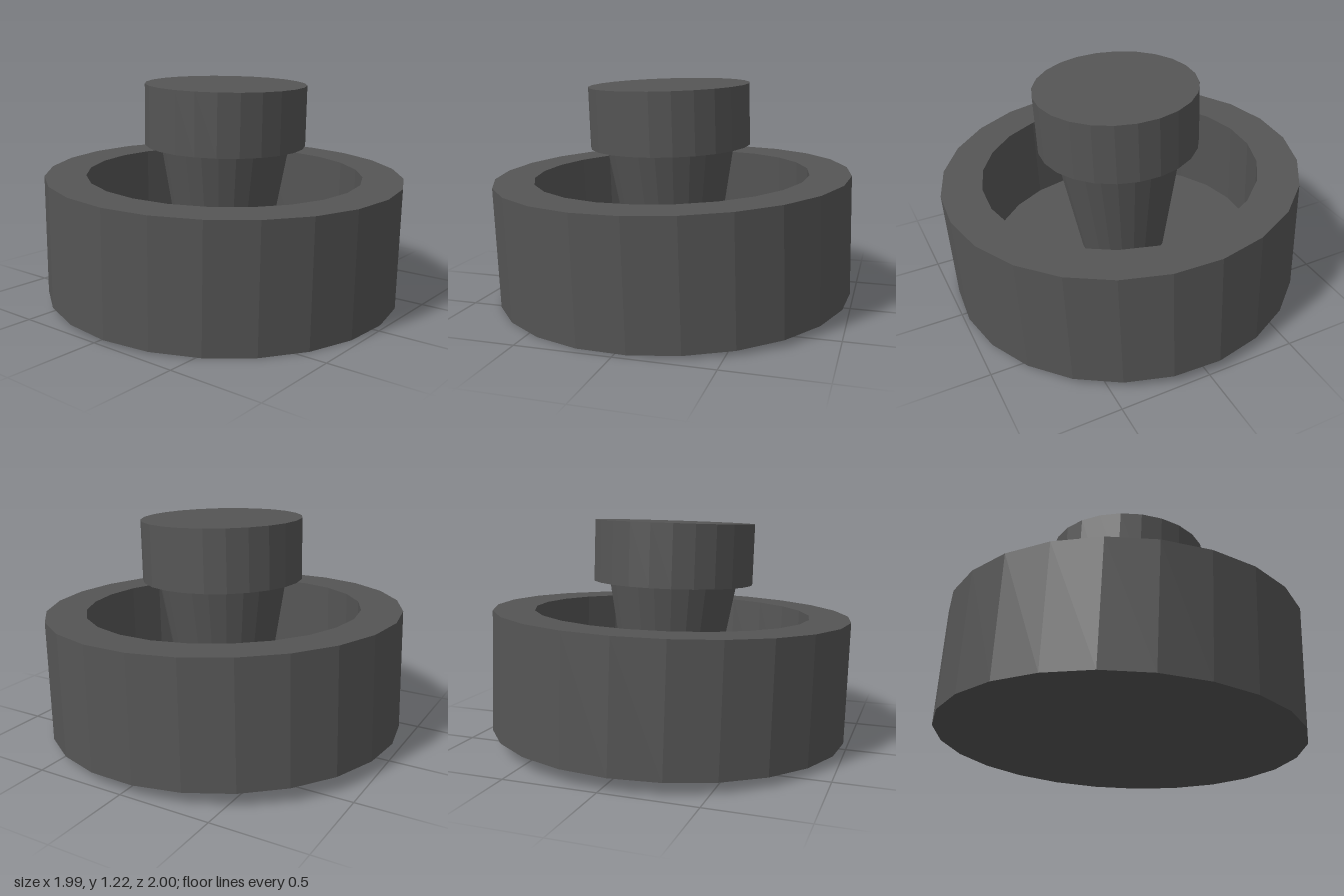
import * as THREE from 'three';

const SIDES = 24;
const SPIN = 0.056; // turns the facets slightly about the axis

export function createModel() {
  const model = new THREE.Group();
  const material = new THREE.MeshStandardMaterial({ color: 0x555555, flatShading: true });

  // Revolves a profile of [radius, height] points, listed from the bottom up
  const addTurned = (name, profile) => {
    const points = profile.map(([r, y]) => new THREE.Vector2(r, y));
    const mesh = new THREE.Mesh(new THREE.LatheGeometry(points, SIDES, SPIN), material);
    mesh.name = name;
    model.add(mesh);
  };

  // Thick-walled round dish with a recessed floor
  addTurned('dish', [[0, 0], [0.988, 0], [0.988, 0.66], [0.765, 0.66], [0.765, 0.16], [0, 0.16]]);
  // Stem that widens upward from the floor
  addTurned('stem', [[0.24, 0.16], [0.355, 0.825]]);
  // Solid round knob on the stem
  addTurned('knob', [[0, 0.825], [0.443, 0.825], [0.443, 1.157], [0, 1.157]]);

  // The whole piece leans a little forward and to its right
  model.name = 'knobbedDish';
  model.rotation.set(0.036, 0, 0.021);
  model.position.set(0.005, 0.041, -0.01);
  return model;
}
